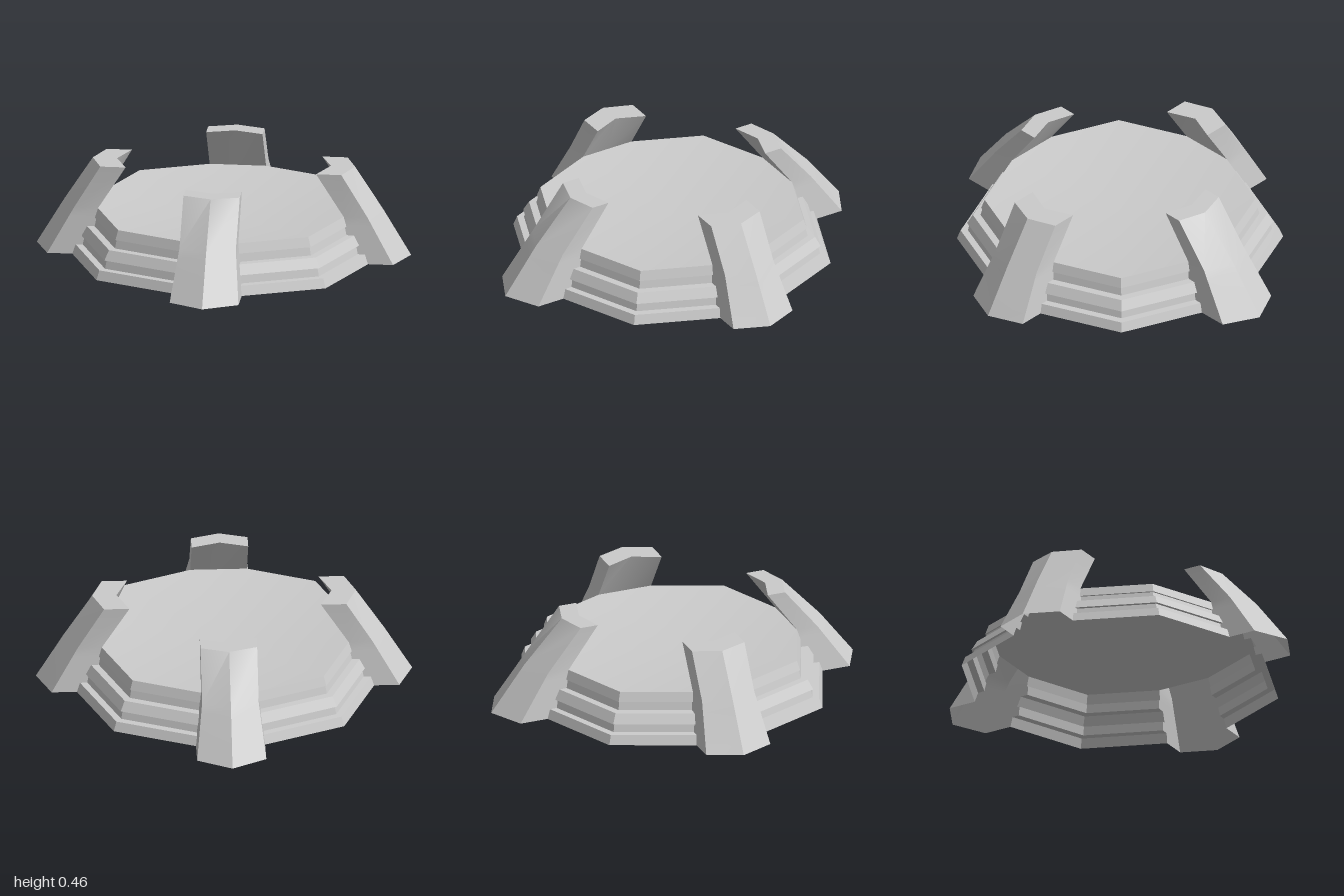
import * as THREE from 'three';
import { toCreasedNormals } from 'three/addons/utils/BufferGeometryUtils.js';

const material = new THREE.MeshStandardMaterial({ color: 0xcccccc, side: THREE.DoubleSide });

// Stepped wall profile, bottom to top: [corner radius of the octagon, height]
const profile = [
  [0.834, 0], [0.815, 0.049], [0.778, 0.05], [0.767, 0.094], [0.782, 0.095],
  [0.752, 0.145], [0.713, 0.146], [0.702, 0.189], [0.71, 0.19], [0.692, 0.24],
];
const deckY = 0.24, topY = 0.464, dishDepth = 0.07;
const slope = Math.tan(Math.PI / 8);

// Buttress half width, and where the wall meets the buttress side
const halfWidth = (y) => 0.145 + 0.032 * Math.max(0, 1 - y / deckY);
const wallAt = ([r, y]) => r - halfWidth(y) * slope;

// Surface through rows of points (rows go up, columns go right), sharp at the folds
function strip(rows) {
  const pos = [];
  for (let i = 0; i < rows.length - 1; i++) {
    for (let j = 0; j < rows[i].length - 1; j++) {
      const a = rows[i][j], b = rows[i][j + 1], c = rows[i + 1][j + 1], d = rows[i + 1][j];
      pos.push(...a, ...b, ...c, ...a, ...c, ...d);
    }
  }
  const g = new THREE.BufferGeometry();
  g.setAttribute('position', new THREE.Float32BufferAttribute(pos, 3));
  return toCreasedNormals(g, 0.5);
}

function add(parent, name, geometry) {
  const mesh = new THREE.Mesh(geometry, material);
  mesh.name = name;
  parent.add(mesh);
  return mesh;
}

// Stepped wall between two neighbouring buttresses
function wallGeometry() {
  return strip(profile.map((p) => {
    const [r, y] = p, w = halfWidth(y), z = wallAt(p), d = r * Math.SQRT1_2;
    return [[w, y, z], [d, y, d], [z, y, w]];
  }));
}

// Leaning buttress facing +z; tip and side are depths at [ground, deck, top]
function buttress(name, { tip, side, inner, notch }) {
  const group = new THREE.Group();
  group.name = name;
  const depth = (v, y) => (y <= deckY
    ? THREE.MathUtils.lerp(v[0], v[1], y / deckY)
    : THREE.MathUtils.lerp(v[1], v[2], (y - deckY) / (topY - deckY)));
  const row = (y, back) => {
    const w = halfWidth(y), s = depth(side, y);
    return [[-w, y, back], [-w, y, s], [0, y, depth(tip, y)], [w, y, s], [w, y, back]];
  };
  const rows = profile.map((p) => row(p[1], wallAt(p)));
  const deckRow = rows[rows.length - 1];
  const topRow = row(topY, inner);
  const notchTop = [0, topY, notch];
  add(group, 'buttressOuterFaces', strip([...rows, topRow]));
  // Folded inner face above the deck
  add(group, 'buttressInnerFace', strip([
    [deckRow[4], [0, deckY, deckRow[0][2]], deckRow[0]],
    [topRow[4], notchTop, topRow[0]],
  ]));
  add(group, 'buttressTop', strip([topRow.slice(1, 4), [topRow[0], notchTop, topRow[4]]]));
  return group;
}

// Shallow dished deck, cut straight where the buttresses stand
function deckGeometry() {
  const last = profile[profile.length - 1];
  const w = halfWidth(deckY), z = wallAt(last), d = last[0] * Math.SQRT1_2;
  const pos = [0, deckY - dishDepth, 0], index = [];
  for (let i = 0; i < 4; i++) {
    for (const [x, depth] of [[-w, z], [w, z], [d, d]]) {
      const p = new THREE.Vector2(depth, x).rotateAround(new THREE.Vector2(), i * Math.PI / 2);
      pos.push(p.y, deckY, p.x);
    }
  }
  for (let i = 0; i < 12; i++) index.push(0, 1 + i, 1 + (i + 1) % 12);
  const g = new THREE.BufferGeometry();
  g.setAttribute('position', new THREE.Float32BufferAttribute(pos, 3));
  g.setIndex(index);
  g.computeVertexNormals();
  return g;
}

export function createModel() {
  const model = new THREE.Group();
  model.name = 'steppedPlatform';
  add(model, 'deck', deckGeometry());

  const long = { tip: [1, 0.817, 0.61], side: [0.91, 0.745, 0.565], inner: 0.47, notch: 0.515 };
  const short = { tip: [0.963, 0.82, 0.675], side: [0.89, 0.755, 0.62], inner: 0.49, notch: 0.55 };
  const names = ['frontButtress', 'leftButtress', 'backButtress', 'rightButtress'];
  const wall = wallGeometry();
  names.forEach((name, i) => {
    const angle = i * Math.PI / 2;
    add(model, 'steppedWall', wall).rotation.y = angle;
    const b = buttress(name, i % 2 ? short : long);
    b.rotation.y = angle;
    model.add(b);
  });
  return model;
}
